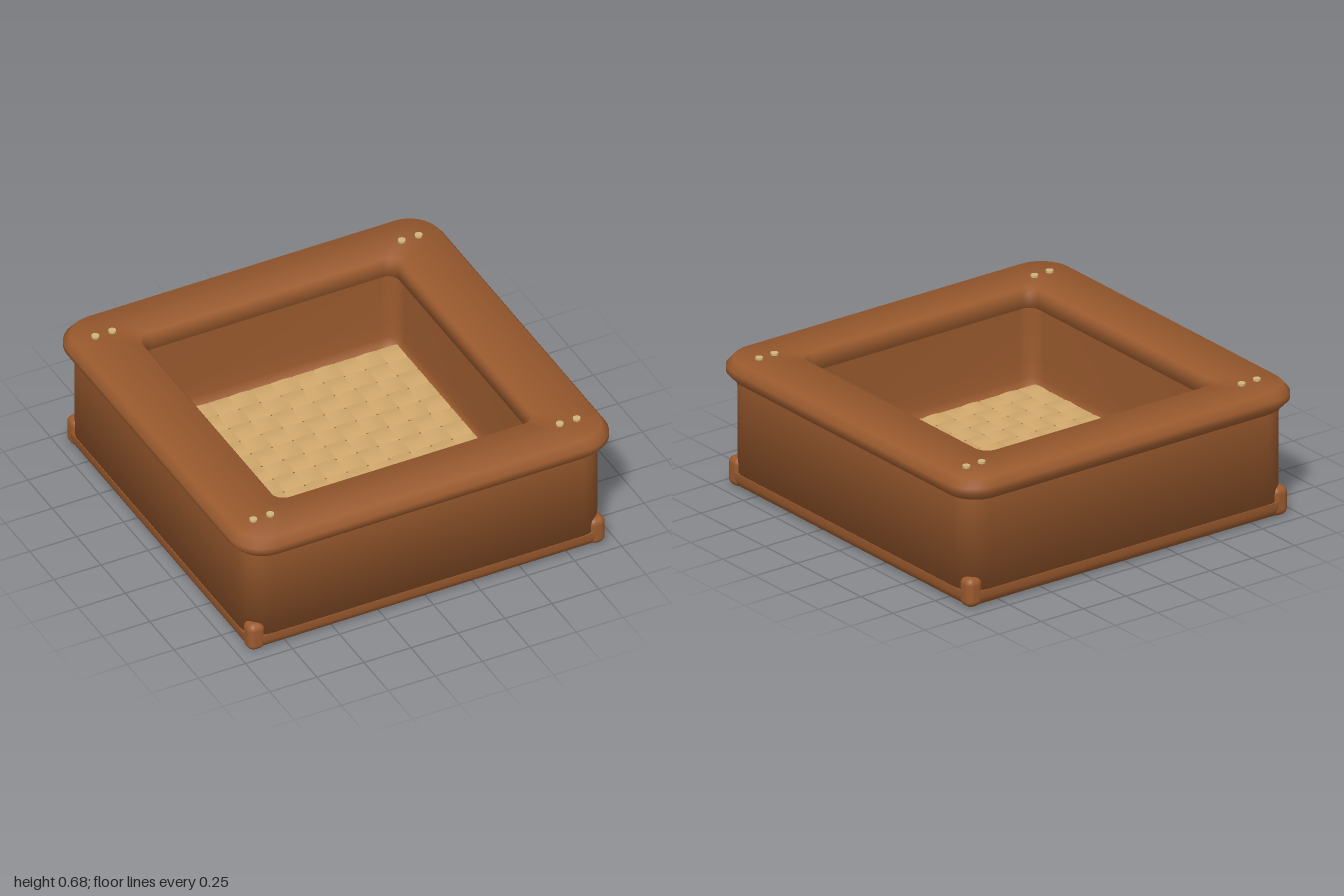
import * as THREE from 'three';
import { RoundedBoxGeometry } from 'three/addons/geometries/RoundedBoxGeometry.js';

const wood = new THREE.MeshStandardMaterial({ color: 0x9a5a2e });
wood.name = 'brown wood';
const straw = new THREE.MeshStandardMaterial({ color: 0xd0a86c, side: THREE.DoubleSide });
straw.name = 'woven straw';
const brass = new THREE.MeshStandardMaterial({ color: 0xd0b47c });
brass.name = 'pale brass';

// Joins rounded rectangles [halfX, halfZ, cornerRadius, y] into a soft skin.
// A repeated ring makes a sharp edge.
function loft(rings, corner = 8) {
  const points = [], index = [], n = 4 * (corner + 1);
  for (const [hx, hz, r, y] of rings) {
    for (let q = 0; q < 4; q++) {
      const sx = q === 0 || q === 3 ? 1 : -1, sz = q < 2 ? -1 : 1;
      for (let k = 0; k <= corner; k++) {
        const a = (q + k / corner) * Math.PI / 2;
        points.push(new THREE.Vector3(sx * (hx - r) + r * Math.cos(a), y, sz * (hz - r) - r * Math.sin(a)));
      }
    }
  }
  // Every face counts equally in the normals, so broad faces shade softly
  const normals = points.map(() => new THREE.Vector3());
  const d1 = new THREE.Vector3(), d2 = new THREE.Vector3();
  for (let j = 0; j < rings.length - 1; j++) {
    for (let i = 0; i < n; i++) {
      const a = j * n + i, b = j * n + (i + 1) % n;
      index.push(a, b, b + n, a, b + n, a + n);
      d1.subVectors(points[b + n], points[a]);
      d2.subVectors(points[a + n], points[b]);
      d1.cross(d2).normalize();
      // A repeated ring spans no area and adds nothing
      if (rings[j].every((v, k) => v === rings[j + 1][k])) continue;
      for (const v of [a, b, a + n, b + n]) normals[v].add(d1);
    }
  }
  const geo = new THREE.BufferGeometry().setFromPoints(points);
  geo.setAttribute('normal', new THREE.Float32BufferAttribute(normals.flatMap((v) => v.normalize().toArray()), 3));
  geo.setIndex(index);
  return geo;
}

const square = (h, r, y) => [h, h, r, y];

export function createModel() {
  const group = new THREE.Group();
  const add = (name, geo, mat, x = 0, y = 0, z = 0) => {
    const mesh = new THREE.Mesh(geo, mat);
    mesh.name = name;
    mesh.position.set(x, y, z);
    group.add(mesh);
  };

  // Flat base with a rounded lower edge
  add('base', loft([
    square(0, 0, 0), square(0.9, 0.04, 0), square(0.9, 0.04, 0),
    square(0.922, 0.05, 0.008), square(0.94, 0.06, 0.025), square(0.949, 0.065, 0.05),
    square(0.949, 0.065, 0.085), square(0.949, 0.065, 0.085), square(0.85, 0.05, 0.085),
  ]), wood);

  // Outer walls, softly shaded into their underside
  add('outerWalls', loft([
    square(0, 0, 0.075), square(0.946, 0.12, 0.075), square(0.947, 0.12, 0.57),
  ]), wood);

  // Inner walls and floor
  add('innerWalls', loft([
    [0.69, 0.715, 0.08, 0.62], [0.69, 0.715, 0.08, 0.3],
    [0.688, 0.71, 0.08, 0.22], [0.68, 0.7, 0.08, 0.17], [0, 0, 0, 0.17],
  ]), wood);

  // Broad rim with a chamfered outer edge
  add('rim', loft([
    [0.72, 0.74, 0.07, 0.55], square(0.95, 0.14, 0.55), square(0.95, 0.14, 0.55),
    square(0.965, 0.15, 0.56), square(1, 0.17, 0.602), square(1, 0.17, 0.63),
    square(0.97, 0.155, 0.67), [0.69, 0.725, 0.07, 0.67],
    [0.675, 0.71, 0.06, 0.65], [0.675, 0.71, 0.06, 0.58], [0.72, 0.74, 0.07, 0.55],
  ]), wood);

  // Rounded corner feet and paired rim pins
  const foot = new RoundedBoxGeometry(0.09, 0.15, 0.09, 4, 0.035);
  const pin = new THREE.CylinderGeometry(0.019, 0.019, 0.03, 12);
  for (const sx of [-1, 1]) {
    for (const sz of [-1, 1]) {
      add('cornerFoot', foot, wood, sx * 0.905, 0.08, sz * 0.905);
      for (const x of [0.77, 0.86]) add('rimPin', pin, brass, sx * x, 0.666, sz * 0.81);
    }
  }

  // Plain woven mat: strips pass over and under each other
  const count = 12, pitch = 0.112, length = count * pitch;
  for (let i = 0; i < count; i++) {
    const offset = (i + 0.5) * pitch - length / 2;
    for (const along of ['x', 'z']) {
      const geo = new THREE.PlaneGeometry(length, 0.104, count * 6, 1).rotateX(-Math.PI / 2);
      const p = geo.attributes.position;
      const phase = (along === 'x' ? 0 : 1) + i;
      for (let k = 0; k < p.count; k++) {
        const cell = (p.getX(k) + length / 2) / pitch - 0.5;
        p.setY(k, 0.006 * Math.cos(Math.PI * (cell + phase)));
      }
      if (along === 'z') geo.rotateY(-Math.PI / 2);
      geo.computeVertexNormals();
      add('wovenStrip', geo, straw, along === 'x' ? 0 : offset, 0.19, along === 'x' ? offset : 0);
    }
  }
  return group;
}
